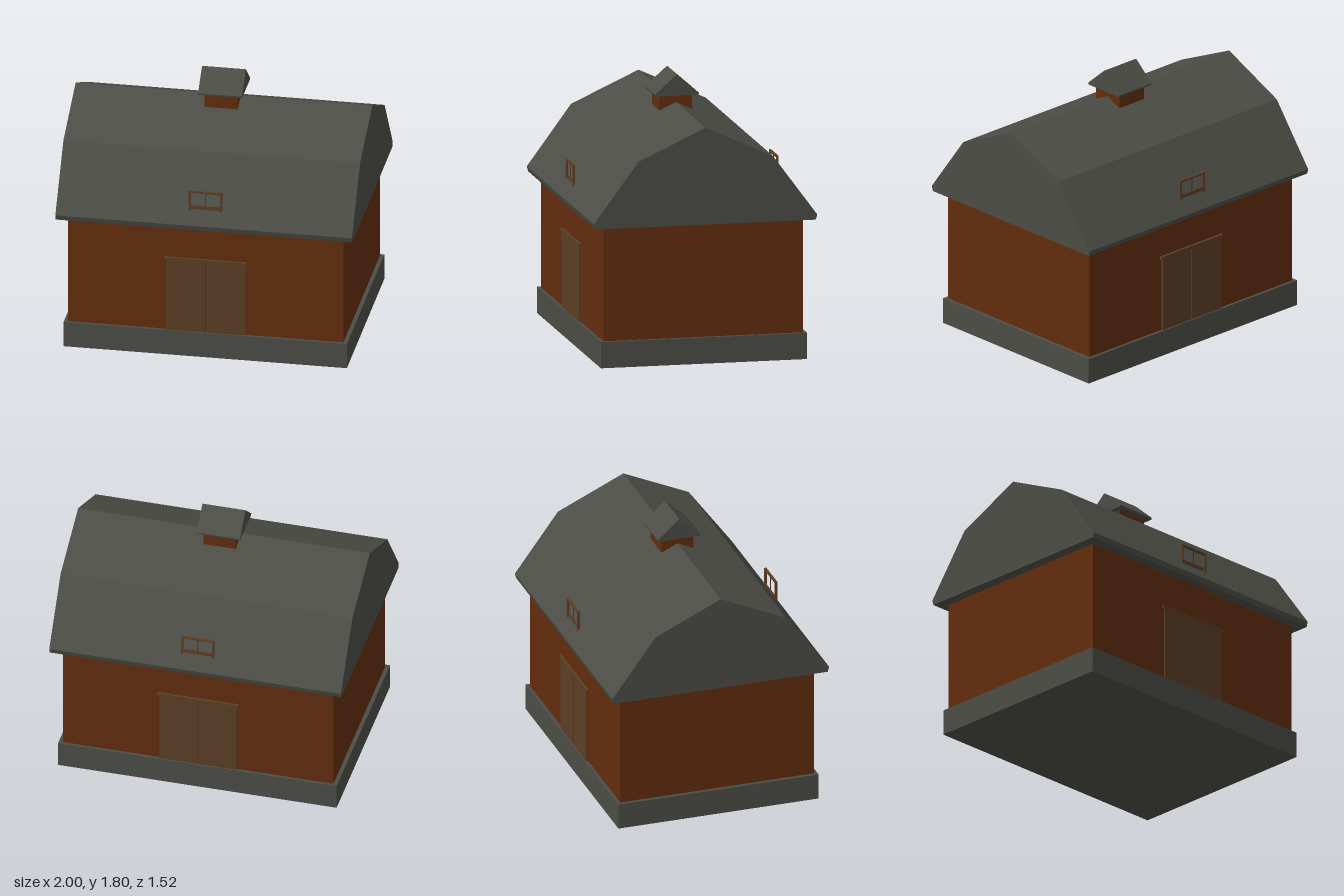
import * as THREE from 'three';

const mat = (name, color) => {
  const m = new THREE.MeshStandardMaterial({ color });
  m.name = name;
  return m;
};

export function createModel() {
  const grey = mat('slate grey', 0x4c4d46);
  const red = mat('barn red', 0x622d0e);
  const wood = mat('brown wood', 0x5b3f25);
  const barn = new THREE.Group();
  barn.name = 'barn';

  // Box given by its lower and upper corners
  const box = (parent, name, material, x0, x1, y0, y1, z0, z1) => {
    const mesh = new THREE.Mesh(new THREE.BoxGeometry(x1 - x0, y1 - y0, z1 - z0), material);
    mesh.position.set((x0 + x1) / 2, (y0 + y1) / 2, (z0 + z1) / 2);
    mesh.name = name;
    parent.add(mesh);
  };

  // Symmetric roof prism along x; half profile of [z, y] from ridge to eave
  const roof = (name, half, halfLength) => {
    const mirrored = half.slice(1).reverse().map(([z, y]) => [-z, y]);
    const shape = new THREE.Shape([...half, ...mirrored].map(([z, y]) => new THREE.Vector2(z, y)));
    const geo = new THREE.ExtrudeGeometry(shape, { depth: halfLength * 2, bevelEnabled: false });
    geo.translate(0, 0, -halfLength).rotateY(Math.PI / 2);
    const mesh = new THREE.Mesh(geo, grey);
    mesh.name = name;
    barn.add(mesh);
  };

  // Main body
  box(barn, 'foundation', grey, -0.955, 0.955, 0, 0.177, -0.702, 0.702);
  box(barn, 'walls', red, -0.928, 0.928, 0.177, 0.96, -0.68, 0.68);
  roof('gambrelRoof', [[0, 1.605], [0.458, 1.395], [0.76, 0.985], [0.75, 0.95]], 1);

  // Cupola on the ridge
  box(barn, 'cupola', red, -0.112, 0.112, 1.5, 1.665, -0.112, 0.112);
  roof('cupolaRoof', [[0, 1.8], [0.15, 1.668], [0.147, 1.655]], 0.148);

  // The same doors and roof window on the front and the back
  for (const side of ['front', 'back']) {
    const face = new THREE.Group();
    face.name = side + 'Openings';
    if (side === 'back') face.rotation.y = Math.PI;

    for (const s of [-1, 1]) {
      const [a, b] = [s * 0.002, s * 0.265].sort((p, q) => p - q);
      box(face, 'doorLeaf', wood, a, b, 0.177, 0.69, 0.675, 0.692);
      const [c, d] = [s * 0.1, s * 0.113].sort((p, q) => p - q);
      box(face, 'windowStile', wood, c, d, 0.948, 1.21, 0.685, 0.7);
    }
    box(face, 'doorHeader', wood, -0.28, 0.28, 0.688, 0.71, 0.675, 0.698);

    // Open window frame
    box(face, 'windowTopRail', wood, -0.113, 0.113, 1.197, 1.21, 0.685, 0.7);
    box(face, 'windowSill', wood, -0.113, 0.113, 0.948, 0.962, 0.685, 0.7);
    box(face, 'windowCrossbar', wood, -0.1, 0.1, 1.07, 1.103, 0.687, 0.692);
    box(face, 'windowMullion', wood, -0.004, 0.004, 0.96, 1.2, 0.687, 0.692);
    barn.add(face);
  }
  return barn;
}
